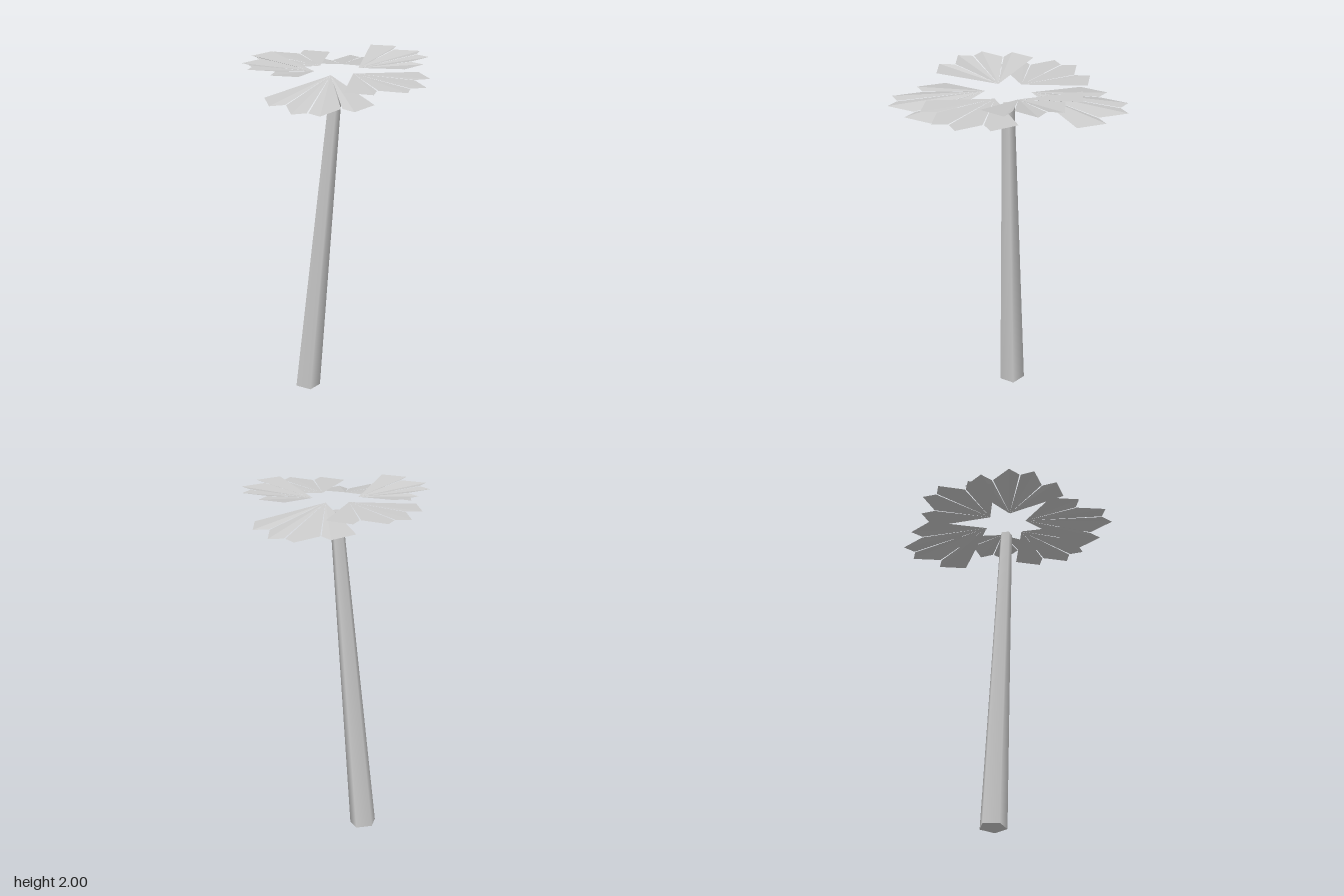
import * as THREE from 'three';

const LEAF_APEX = 1.948; // height where every frond starts
const HUB = 0.123;       // distance of the frond bases from the centre

// Sideways offsets shared by every frond: outer corner, tip, notch, tip, centre corner
const SIDE = [0.29, 0.22, 0.148, 0.073, 0.004];

// Reach along the frond axis for the same points, and height of the rim
const KINDS = {
  raised: { rim: 2.0, reach: [0.162, 0.292, 0.246, 0.376, 0.331] },
  level: { rim: 1.94, reach: [0.206, 0.345, 0.302, 0.443, 0.4] },
  drooping: { rim: 1.875, reach: [0.25, 0.398, 0.356, 0.512, 0.472] },
};

// Fan of four pointed leaflets, each folded from its base to its tip
function frondGeometry({ rim, reach }) {
  const rise = rim - LEAF_APEX;
  const positions = [];
  const base = [0, 0, 0];
  for (const s of [1, -1]) {
    const rimPoint = (i, gap = 0) => [reach[i] + gap, rise, s * (SIDE[i] - gap * 1.5)];
    const leaflets = [
      [rimPoint(0), rimPoint(1), rimPoint(2)],
      [rimPoint(2, 0.004), rimPoint(3), rimPoint(4)],
    ];
    for (const [outer, tip, inner] of leaflets) {
      // keep the upper side facing up on both halves
      for (const [a, b] of [[outer, tip], [tip, inner]]) {
        positions.push(...base, ...(s > 0 ? a : b), ...(s > 0 ? b : a));
      }
    }
  }
  const geometry = new THREE.BufferGeometry();
  geometry.setAttribute('position', new THREE.Float32BufferAttribute(positions, 3));
  geometry.computeVertexNormals();
  return geometry;
}

export function createModel() {
  const model = new THREE.Group();
  model.name = 'palmTree';
  const paleGrey = new THREE.MeshStandardMaterial({ color: 0xcccccc, side: THREE.DoubleSide });
  paleGrey.name = 'paleGrey';

  // Leaning five-sided trunk, tapering upwards
  const bottom = new THREE.Vector3(-0.155, 0.007, -0.097);
  const top = new THREE.Vector3(-0.003, 1.874, 0);
  const axis = top.clone().sub(bottom);
  const trunk = new THREE.Mesh(new THREE.CylinderGeometry(0.036, 0.077, axis.length(), 5), paleGrey);
  trunk.name = 'trunk';
  trunk.position.copy(bottom).add(top).multiplyScalar(0.5);
  trunk.quaternion.setFromUnitVectors(new THREE.Vector3(0, 1, 0), axis.normalize());
  model.add(trunk);

  // Six fronds around the crown; opposite ones match
  const crown = new THREE.Group();
  crown.name = 'crown';
  crown.position.y = LEAF_APEX;
  ['raised', 'level', 'drooping'].forEach((kind, i) => {
    const geometry = frondGeometry(KINDS[kind]);
    for (const turn of [0, Math.PI]) {
      const angle = (i * Math.PI) / 3 + turn;
      const frond = new THREE.Mesh(geometry, paleGrey);
      frond.name = `${kind}Frond`;
      frond.position.set(HUB * Math.cos(angle), 0, HUB * Math.sin(angle));
      frond.rotation.y = -angle;
      crown.add(frond);
    }
  });
  model.add(crown);
  return model;
}
